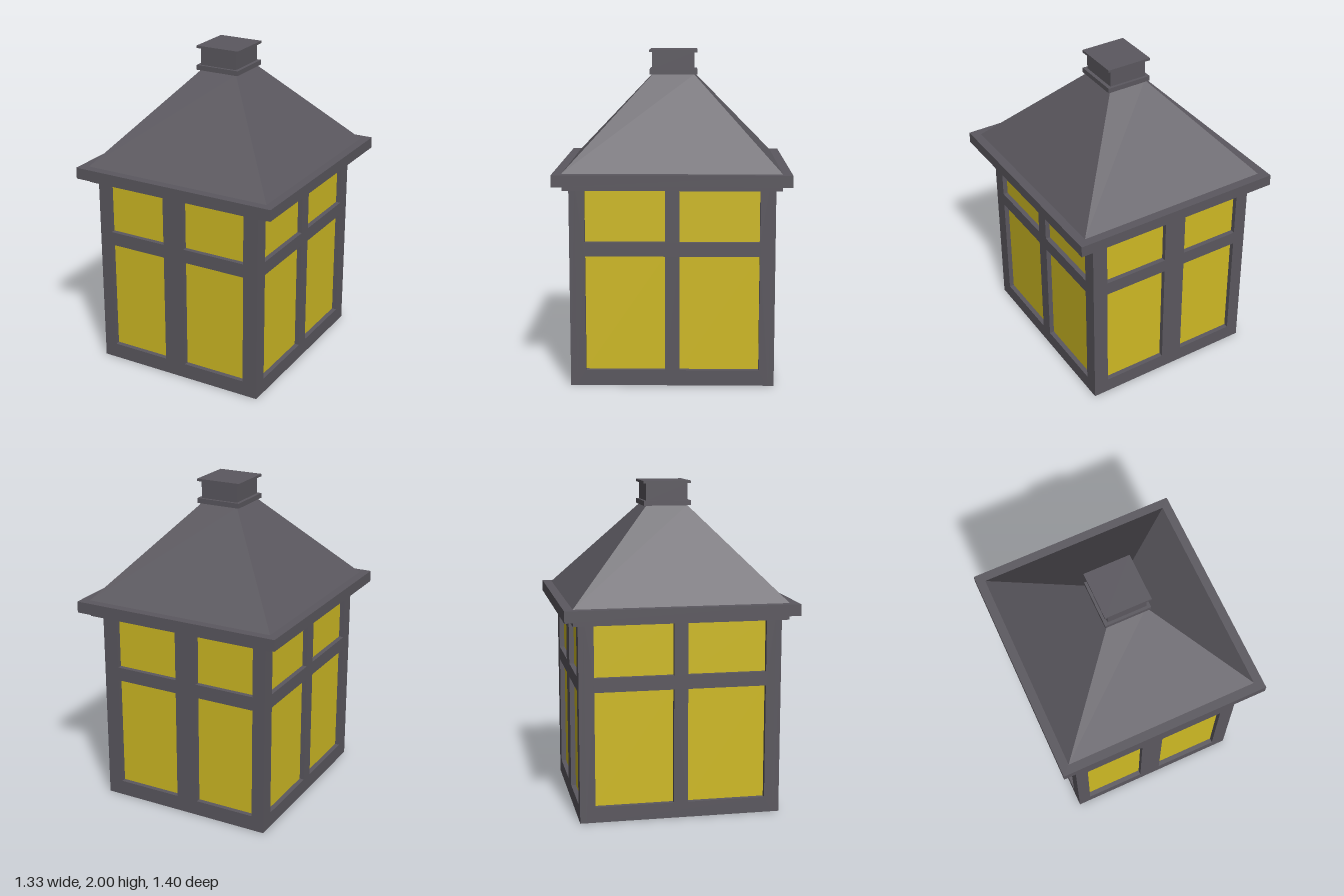
import * as THREE from 'three';

const metal = new THREE.MeshStandardMaterial({ color: 0x5b585f });
metal.name = 'dark grey metal';
const amber = new THREE.MeshStandardMaterial({ color: 0xcfba24 });
amber.name = 'amber glass';

// body extents and frame depth
const LEFT = -0.565, RIGHT = 0.54, MID = (LEFT + RIGHT) / 2, HALF_Z = 0.6125;
const DEPTH = 0.035, WALL = 0.095, TOP = 1.22;
const ROWS = [[0.095, 0.795], [0.88, 1.2]];
const FRONT_COLS = [[-0.485, -0.105], [0.035, 0.445]];
const SIDE_COLS = [[-0.52, -0.0425], [0.0425, 0.52]];

function rect(Type, x0, x1, y0, y1) {
  return new Type([[x0, y0], [x1, y0], [x1, y1], [x0, y1]].map(p => new THREE.Vector2(...p)));
}

function add(parent, name, geometry, material = metal) {
  const mesh = new THREE.Mesh(geometry, material);
  mesh.name = name;
  parent.add(mesh);
  return mesh;
}

// box with half sizes, from y0 to y1, optionally narrowing to a smaller top
function block(hx, hz, y0, y1, topX = hx, topZ = hz) {
  const g = new THREE.BoxGeometry(hx * 2, y1 - y0, hz * 2).translate(0, (y0 + y1) / 2, 0);
  const p = g.attributes.position;
  for (let i = 0; i < p.count; i++) {
    if (p.getY(i) > (y0 + y1) / 2) {
      p.setX(i, Math.sign(p.getX(i)) * topX);
      p.setZ(i, Math.sign(p.getZ(i)) * topZ);
    }
  }
  g.computeVertexNormals();
  return g;
}

// window frame panel with four openings, drawn in its own xy plane
function framePanel(x0, x1, cols) {
  const shape = rect(THREE.Shape, x0, x1, 0, TOP);
  for (const [a, b] of cols) for (const [c, d] of ROWS) shape.holes.push(rect(THREE.Path, a, b, c, d));
  return new THREE.ExtrudeGeometry(shape, { depth: DEPTH, bevelEnabled: false });
}

export function createModel() {
  const model = new THREE.Group();
  model.name = 'lantern';

  // hollow inner shell, open underneath
  const body = new THREE.Group();
  body.name = 'body';
  model.add(body);
  const ring = rect(THREE.Shape, LEFT + DEPTH, RIGHT - DEPTH, -HALF_Z + DEPTH, HALF_Z - DEPTH);
  ring.holes.push(rect(THREE.Path, LEFT + WALL, RIGHT - WALL, -HALF_Z + WALL, HALF_Z - WALL));
  const shell = new THREE.ExtrudeGeometry(ring, { depth: TOP, bevelEnabled: false });
  add(body, 'innerShell', shell.rotateX(-Math.PI / 2));

  // window frames and panes on all four sides
  const inner = HALF_Z - DEPTH;
  for (const s of [1, -1]) {
    const end = s > 0 ? 'front' : 'back', side = s > 0 ? 'left' : 'right';
    add(body, end + 'Frame', framePanel(LEFT, RIGHT, FRONT_COLS)).position.z = s > 0 ? inner : -HALF_Z;
    const sideFrame = framePanel(-inner, inner, SIDE_COLS).rotateY(-Math.PI / 2);
    add(body, side + 'Frame', sideFrame).position.x = s > 0 ? RIGHT : LEFT + DEPTH;

    const halfX = (RIGHT - LEFT) / 2 - DEPTH;
    for (const [c, d] of ROWS) {
      for (const [a, b] of FRONT_COLS) {
        add(body, end + 'Pane', new THREE.BoxGeometry(b - a, d - c, 0.006), amber)
          .position.set((a + b) / 2, (c + d) / 2, s * (inner + 0.002));
      }
      for (const [a, b] of SIDE_COLS) {
        add(body, side + 'Pane', new THREE.BoxGeometry(0.006, d - c, b - a), amber)
          .position.set(MID + s * (halfX + 0.002), (c + d) / 2, (a + b) / 2);
      }
    }
  }

  // roof
  const roof = new THREE.Group();
  roof.name = 'roof';
  model.add(roof);
  add(roof, 'roofTrim', block(0.61, 0.645, 1.2, 1.23));
  add(roof, 'eave', block(0.665, 0.7, 1.23, 1.3));
  add(roof, 'roofSlope', block(0.61, 0.645, 1.3, 1.85, 0.12, 0.128));

  // chimney cap
  add(roof, 'collar', block(0.142, 0.147, 1.85, 1.88));
  add(roof, 'neck', block(0.12, 0.13, 1.88, 1.985));
  add(roof, 'cap', block(0.142, 0.147, 1.985, 2));

  return model;
}
